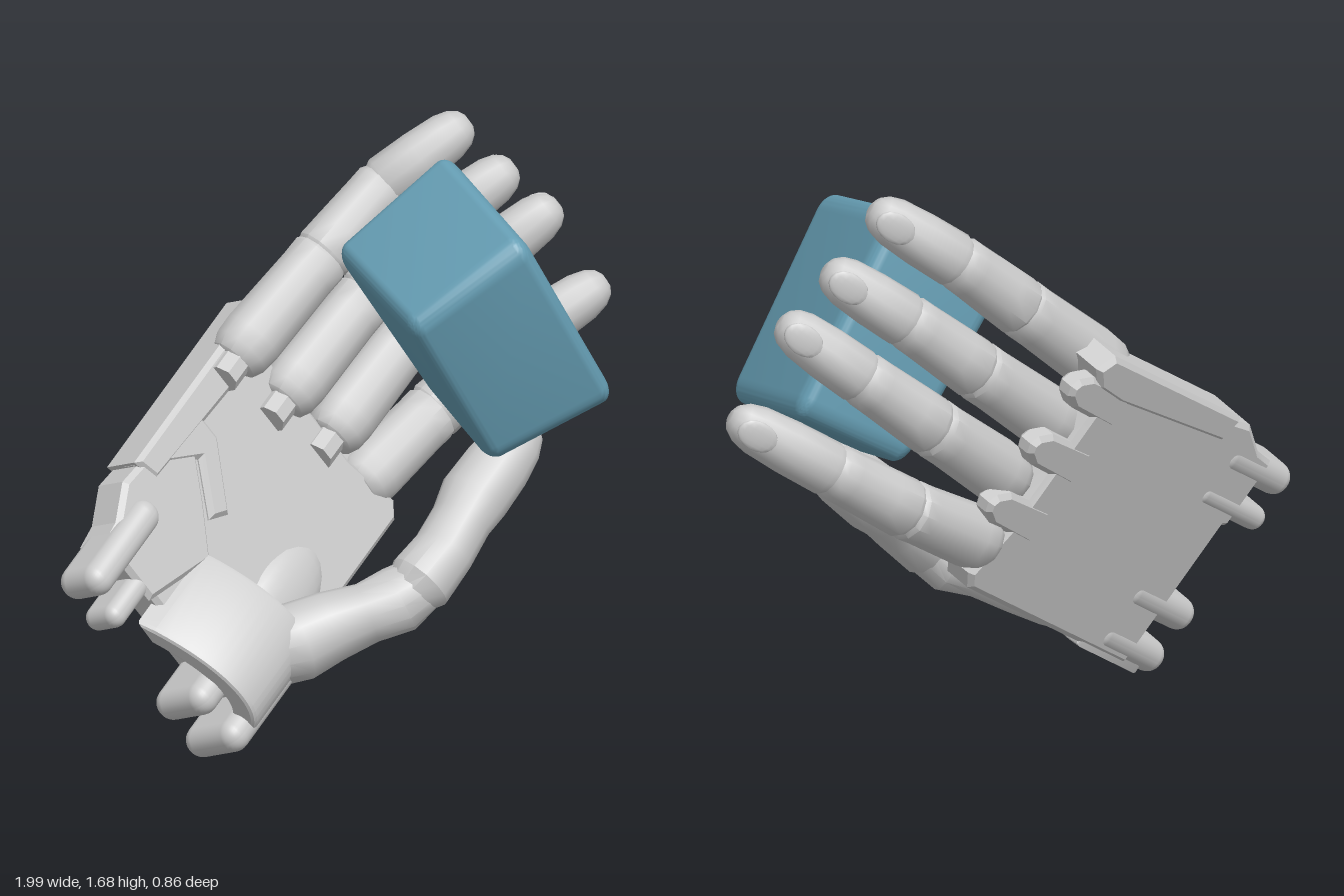
import * as THREE from 'three';
import { mergeVertices, toCreasedNormals } from 'three/addons/utils/BufferGeometryUtils.js';
import { RoundedBoxGeometry } from 'three/addons/geometries/RoundedBoxGeometry.js';

const V = (x, y, z) => new THREE.Vector3(x, y, z);
// Palm frame: U towards the fingers, S towards the little finger, W out of the palm
const U = V(1, 0.6, -0.46).normalize();
const S = V(-0.42, 0.53, -0.1).projectOnPlane(U).normalize();
const W = U.clone().cross(S);
const grey = new THREE.MeshStandardMaterial({ color: 0xcccccc, side: THREE.DoubleSide });
const blue = new THREE.MeshStandardMaterial({ color: 0x669eb4 });

function add(parent, name, geometry, material = grey) {
  const mesh = new THREE.Mesh(geometry, material);
  mesh.name = name;
  parent.add(mesh);
  return mesh;
}

// Closed skin through sections [centre, halfWidth, halfDepth], depth measured along W
function loft(sections, sides, crease = 0.6) {
  const pos = [], idx = [], n = sections.length;
  sections.forEach(([c, rw, rd], i) => {
    const t = sections[Math.min(i + 1, n - 1)][0].clone().sub(sections[Math.max(i - 1, 0)][0]).normalize();
    const d = W.clone().projectOnPlane(t).normalize();
    const s = d.clone().cross(t);
    for (let j = 0; j < sides; j++) {
      const a = (j + 0.5) / sides * Math.PI * 2;
      const p = c.clone().addScaledVector(s, Math.cos(a) * rw).addScaledVector(d, Math.sin(a) * rd);
      pos.push(p.x, p.y, p.z);
    }
  });
  for (let i = 0; i < n - 1; i++) for (let j = 0; j < sides; j++) {
    const k = (j + 1) % sides, a = i * sides, b = a + sides;
    idx.push(a + j, a + k, b + k, a + j, b + k, b + j);
  }
  for (let j = 1; j < sides - 1; j++) {
    const e = (n - 1) * sides;
    idx.push(0, j + 1, j, e, e + j, e + j + 1);
  }
  const g = new THREE.BufferGeometry();
  g.setAttribute('position', new THREE.Float32BufferAttribute(pos, 3));
  g.setIndex(idx);
  return toCreasedNormals(g, crease);
}

// One finger bone; profile rows are [fraction along, radius factor]
function bone(a, b, r0, r1, profile) {
  return loft(profile.map(([t, f]) => {
    const r = THREE.MathUtils.lerp(r0, r1, t) * f;
    return [a.clone().lerp(b, t), r, r * 0.95];
  }), 12, 0.75);
}
const KNUCKLE = [[-0.19, 0.5], [-0.15, 0.8], [-0.05, 0.97], [0.1, 1.02], [0.8, 0.98], [0.97, 1], [1.03, 0.85]];
const SHAFT = [[-0.04, 0.85], [0.03, 1], [0.3, 1], [0.8, 0.99], [0.96, 1], [1.04, 0.85]];
const TIP = [[-0.04, 0.85], [0.04, 1], [0.5, 1.04], [0.88, 1], [1.04, 0.85], [1.13, 0.6], [1.17, 0.3]];

function addNail(parent, a, b, r) {
  const t = b.clone().sub(a).normalize();
  const d = W.clone().projectOnPlane(t).normalize();
  const nail = add(parent, 'nail', new THREE.SphereGeometry(1, 16, 8));
  nail.quaternion.setFromRotationMatrix(new THREE.Matrix4().makeBasis(t, d.clone().cross(t), d));
  nail.scale.set(0.065, r * 0.62, 0.012);
  nail.position.copy(b).addScaledVector(t, -0.03).addScaledVector(d, -r * 0.94);
}

function makeFinger(name, pts, r) {
  const g = new THREE.Group();
  g.name = name;
  const p = pts.map(q => V(...q));
  const R = [r, r * 0.96, r * 0.88, r * 0.76];
  add(g, 'proximalBone', bone(p[0], p[1], R[0], R[1], KNUCKLE));
  add(g, 'middleBone', bone(p[1], p[2], R[1], R[2], SHAFT));
  add(g, 'fingertip', bone(p[2], p[3], R[2], R[3], TIP));
  addNail(g, p[2], p[3], R[3]);
  // Link between knuckle and palm
  const root = p[0].clone().addScaledVector(U, -0.14);
  add(g, 'knuckleLink', loft([[root, 0.05, 0.055], [p[0], 0.05, 0.055]], 8));
  return g;
}

function makePalm() {
  const palm = new THREE.Group();
  palm.name = 'palm';
  palm.quaternion.setFromRotationMatrix(new THREE.Matrix4().makeBasis(U, S, W));
  palm.position.set(-0.55, 0.01, 0.085);
  const slab = (name, pts, depth, w) => {
    const shape = new THREE.Shape(pts.map(([x, y]) => new THREE.Vector2(x, y)));
    const g = new THREE.ExtrudeGeometry(shape, {
      depth: depth - 0.03, bevelThickness: 0.015, bevelSize: 0.015, bevelOffset: -0.015, bevelSegments: 1 });
    add(palm, name, toCreasedNormals(g, 0.3)).position.z = w + 0.015;
  };
  slab('palmPlate', [[0.1, 0], [0.96, 0], [1.0, 0.04], [0.96, 0.24], [0.96, 0.68], [0.9, 0.76], [0.36, 0.78], [0.3, 0.76], [0.1, 0.72]], 0.12, 0);
  // Rounded tongues reaching between the knuckles
  for (const b of [0.255, 0.465, 0.67])
    slab('knuckleTongue', [[0.85, b - 0.06], [1.06, b - 0.055], [1.11, b - 0.03], [1.125, b], [1.11, b + 0.03], [1.06, b + 0.055], [0.85, b + 0.06]], 0.07, -0.002);
  // Wrist shoulder under the guard
  slab('wristShoulder', [[0.08, 0.5], [0.34, 0.42], [0.45, 0.55], [0.54, 0.67], [0.38, 0.79], [0.27, 0.8], [0.16, 0.74], [0.08, 0.73]], 0.135, 0);
  // Rounded wrist prongs: position across, width, height
  for (const [b, w, h] of [[0.685, 0.1, 0.18], [0.555, 0.075, 0.14], [0.2, 0.1, 0.22], [0.05, 0.1, 0.23]]) {
    const p = add(palm, 'wristProng', new RoundedBoxGeometry(0.36, w, h, 4, w * 0.48));
    p.position.set(0.11, b, h / 2 - 0.005);
  }
  // Guard along the little finger side, with its tab onto the palm
  slab('sideGuard', [[0.36, 0.72], [0.9, 0.69], [1.02, 0.7], [1.08, 0.75], [1.04, 0.81], [0.34, 0.81]], 0.15, -0.008);
  slab('guardTab', [[0.49, 0.46], [0.63, 0.64], [0.63, 0.75], [0.34, 0.8], [0.53, 0.645], [0.424, 0.5]], 0.08, 0.06);
  // Thumb socket: a curved shell open towards the fingers
  const arc = new THREE.Shape();
  arc.moveTo(0, 0.02);
  arc.bezierCurveTo(-0.03, 0.33, 0.22, 0.34, 0.46, 0.1);
  arc.lineTo(0.4, 0.1);
  arc.bezierCurveTo(0.21, 0.27, 0.03, 0.27, 0.04, 0.02);
  const shell = new THREE.ExtrudeGeometry(arc, {
    depth: 0.3, bevelSize: 0.012, bevelThickness: 0.015, bevelSegments: 2, curveSegments: 24 });
  shell.applyMatrix4(new THREE.Matrix4().makeBasis(V(0, 1, 0), V(0, 0, 1), V(1, 0, 0)));
  add(palm, 'thumbSocket', toCreasedNormals(shell, 0.35)).position.x = 0.03;
  // Low ramp behind the thumb
  const ramp = add(palm, 'thumbRamp', new THREE.SphereGeometry(1, 24, 12));
  ramp.scale.set(0.2, 0.12, 0.06);
  ramp.position.set(0.48, 0.15, 0.09);
  return palm;
}

function makeThumb() {
  const g = new THREE.Group();
  g.name = 'thumb';
  const part = (name, rows) => add(g, name, loft(rows.map(([x, y, z, r]) => [V(x, y, z), r, r]), 14));
  part('thumbBase', [[-0.4, 0.28, 0.11, 0.06], [-0.34, 0.29, 0.12, 0.11], [-0.27, 0.305, 0.13, 0.118],
    [-0.17, 0.34, 0.15, 0.105], [-0.07, 0.375, 0.19, 0.09], [0.02, 0.41, 0.22, 0.1], [0.08, 0.45, 0.235, 0.085]]);
  part('thumbTip', [[0.03, 0.42, 0.235, 0.07], [0.08, 0.46, 0.24, 0.1], [0.17, 0.53, 0.22, 0.092], [0.25, 0.6, 0.185, 0.09],
    [0.31, 0.655, 0.16, 0.104], [0.4, 0.73, 0.14, 0.1], [0.47, 0.785, 0.125, 0.084], [0.51, 0.82, 0.12, 0.058], [0.53, 0.84, 0.115, 0.024]]);
  return g;
}

// Soft block: a rounded box mapped onto eight corners
function makeBlock() {
  const C = [[[0.39, 0.85, -0.20], [0.75, 1.05, -0.185]], [[0.03, 1.37, -0.19], [0.39, 1.63, -0.15]],
    [[0.32, 0.77, 0.25], [0.67, 0.95, 0.39]], [[-0.01, 1.27, 0.32], [0.32, 1.52, 0.44]]].map(e => e.map(q => V(...q)));
  let g = new RoundedBoxGeometry(1, 1, 1, 6, 0.1);
  g.deleteAttribute('normal');
  g.deleteAttribute('uv');
  g = mergeVertices(g, 1e-4);
  const p = g.attributes.position;
  for (let i = 0; i < p.count; i++) {
    const x = p.getX(i) + 0.5, y = p.getY(i) + 0.5, z = p.getZ(i) + 0.5;
    const e = C.map(([a, b]) => a.clone().lerp(b, x));
    const q = e[0].lerp(e[1], y).lerp(e[2].lerp(e[3], y), z);
    p.setXYZ(i, q.x, q.y, q.z);
  }
  return toCreasedNormals(g, 0.7);
}

export function createModel() {
  const hand = new THREE.Group();
  hand.name = 'handHoldingBlock';
  hand.add(makePalm(), makeThumb());
  hand.add(
    makeFinger('littleFinger', [[-0.22, 1.09, -0.25], [0.06, 1.31, -0.285], [0.28, 1.485, -0.305], [0.49, 1.635, -0.24]], 0.095),
    makeFinger('ringFinger', [[-0.06, 0.94, -0.25], [0.22, 1.15, -0.31], [0.45, 1.33, -0.31], [0.645, 1.475, -0.24]], 0.095),
    makeFinger('middleFinger', [[0.1, 0.8, -0.25], [0.37, 1.0, -0.32], [0.6, 1.18, -0.31], [0.79, 1.335, -0.235]], 0.095),
    makeFinger('indexFinger', [[0.19, 0.62, -0.25], [0.45, 0.76, -0.31], [0.7, 0.915, -0.31], [0.945, 1.07, -0.235]], 0.095));
  add(hand, 'block', makeBlock(), blue);
  return hand;
}
